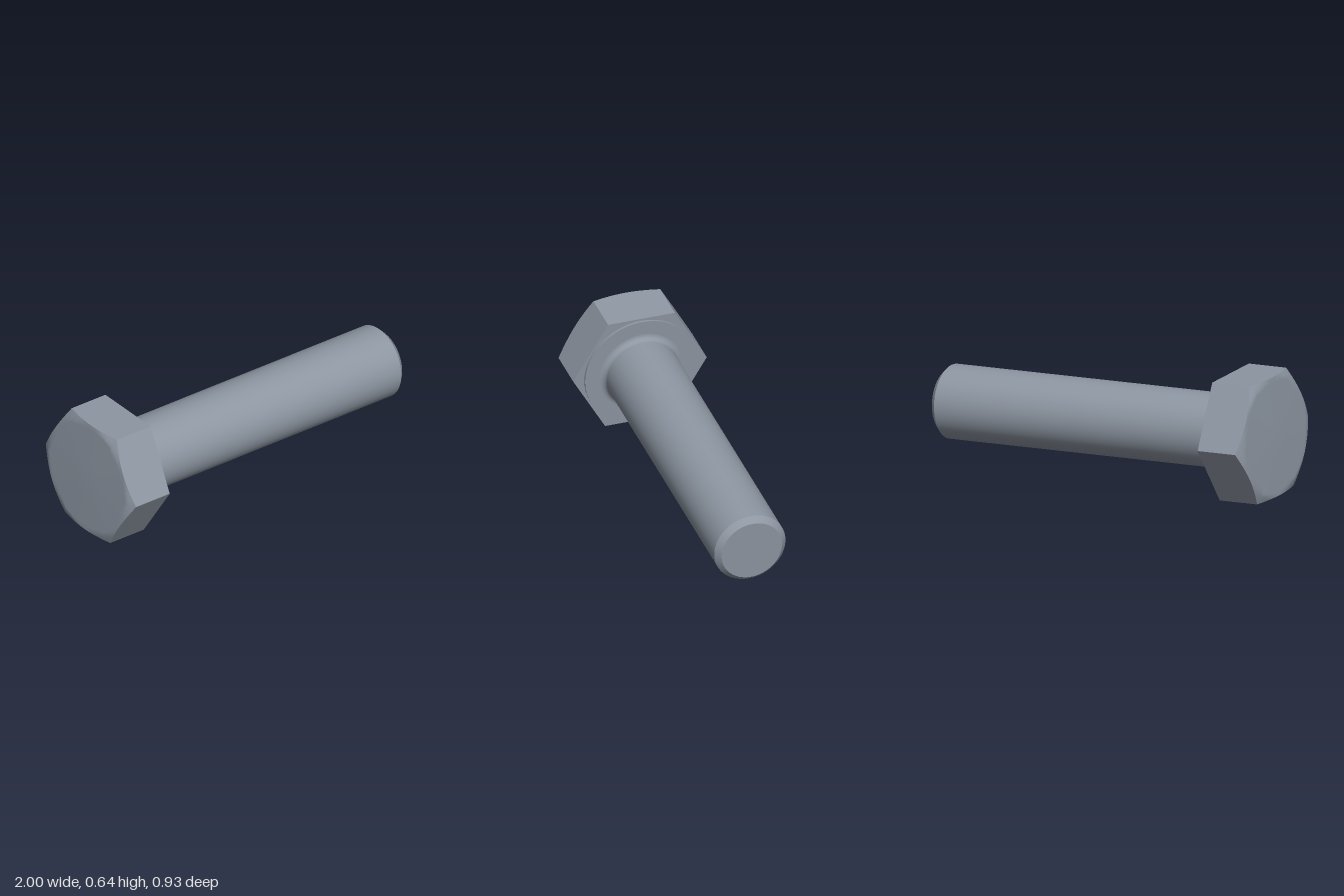
import * as THREE from 'three';
import { mergeVertices } from 'three/addons/utils/BufferGeometryUtils.js';

const FLAT = 0.312;               // half the width across the flats
const CORNER = FLAT / Math.cos(Math.PI / 6);

// Distance from the axis to the hexagon outline, with a corner at angle 0
function hexRadius(angle) {
  const sector = Math.PI / 3;
  const a = ((angle % sector) + sector) % sector;
  return FLAT / Math.cos(a - sector / 2);
}

// Height of the chamfered head top at radius r
const topHeight = (r) => Math.min(0.252 - 0.02 * r, 0.245 - 0.48 * (r - FLAT));

// Reshape a unit-radius round geometry into a hexagon; the upper points follow the chamfer
function toHex(geometry) {
  const p = geometry.attributes.position;
  for (let i = 0; i < p.count; i++) {
    const x = p.getX(i), z = p.getZ(i);
    const angle = Math.atan2(x, z);
    const r = Math.hypot(x, z) * hexRadius(angle + 1e-9);
    p.setXYZ(i, r * Math.sin(angle), p.getY(i) > 0 ? topHeight(r) : 0, r * Math.cos(angle));
  }
  return geometry;
}

export function createModel() {
  const steel = new THREE.MeshStandardMaterial({ color: 0x8e97a3 });
  steel.name = 'steel';

  const model = new THREE.Group();
  model.name = 'bolt';
  const bolt = new THREE.Group(); // local +y runs from the head to the tip
  bolt.name = 'boltBody';

  const add = (parent, name, geometry) => {
    const mesh = new THREE.Mesh(geometry, steel);
    mesh.name = name;
    parent.add(mesh);
  };
  const lathe = (points, segments = 48) =>
    new THREE.LatheGeometry(points.map(([r, y]) => new THREE.Vector2(r, y)), segments);

  // Hexagonal head, built upward and then turned over
  const head = new THREE.Group();
  head.name = 'head';
  head.rotation.x = Math.PI;
  bolt.add(head);

  const sides = toHex(new THREE.CylinderGeometry(1, 1, 1, 72, 1, true)).toNonIndexed();
  sides.computeVertexNormals();
  add(head, 'headSides', sides);

  let top = toHex(lathe([1, 0.95, 0.9, 0.86, 0.83, 0.6, 0.3, 0].map((f) => [f, 1]), 72));
  top.deleteAttribute('normal');
  top.deleteAttribute('uv');
  top = mergeVertices(top);
  top.computeVertexNormals();
  add(head, 'headTop', top);

  const underside = new THREE.CircleGeometry(CORNER, 6, Math.PI / 2);
  underside.rotateX(Math.PI / 2);
  add(head, 'headUnderside', underside);

  // Raised bearing face under the head
  add(bolt, 'bearingRim', lathe([[0.3, 0], [0.3, 0.012]]));
  add(bolt, 'bearingFace', lathe([[0.3, 0.012], [0.222, 0.012]]));

  // Shank with a fillet at its root
  const shank = [];
  for (let i = 0; i <= 6; i++) {
    const a = (i / 6) * Math.PI / 2;
    shank.push([0.222 - 0.03 * Math.sin(a), 0.042 - 0.03 * Math.cos(a)]);
  }
  shank.push([0.192, 1.668]);
  add(bolt, 'shank', lathe(shank));

  // Chamfered tip
  add(bolt, 'tipChamfer', lathe([[0.192, 1.668], [0.163, 1.698]]));
  add(bolt, 'tipFace', lathe([[0.163, 1.698], [0, 1.698]]));

  // Lay the bolt down, resting on the head and the tip
  bolt.rotation.z = -Math.PI / 2;
  const pose = new THREE.Group();
  pose.name = 'restingPose';
  pose.rotation.set(0, -0.2093, -0.0713, 'YZX');
  pose.position.set(-0.693, 0.315, -0.067);
  pose.add(bolt);
  model.add(pose);
  return model;
}
